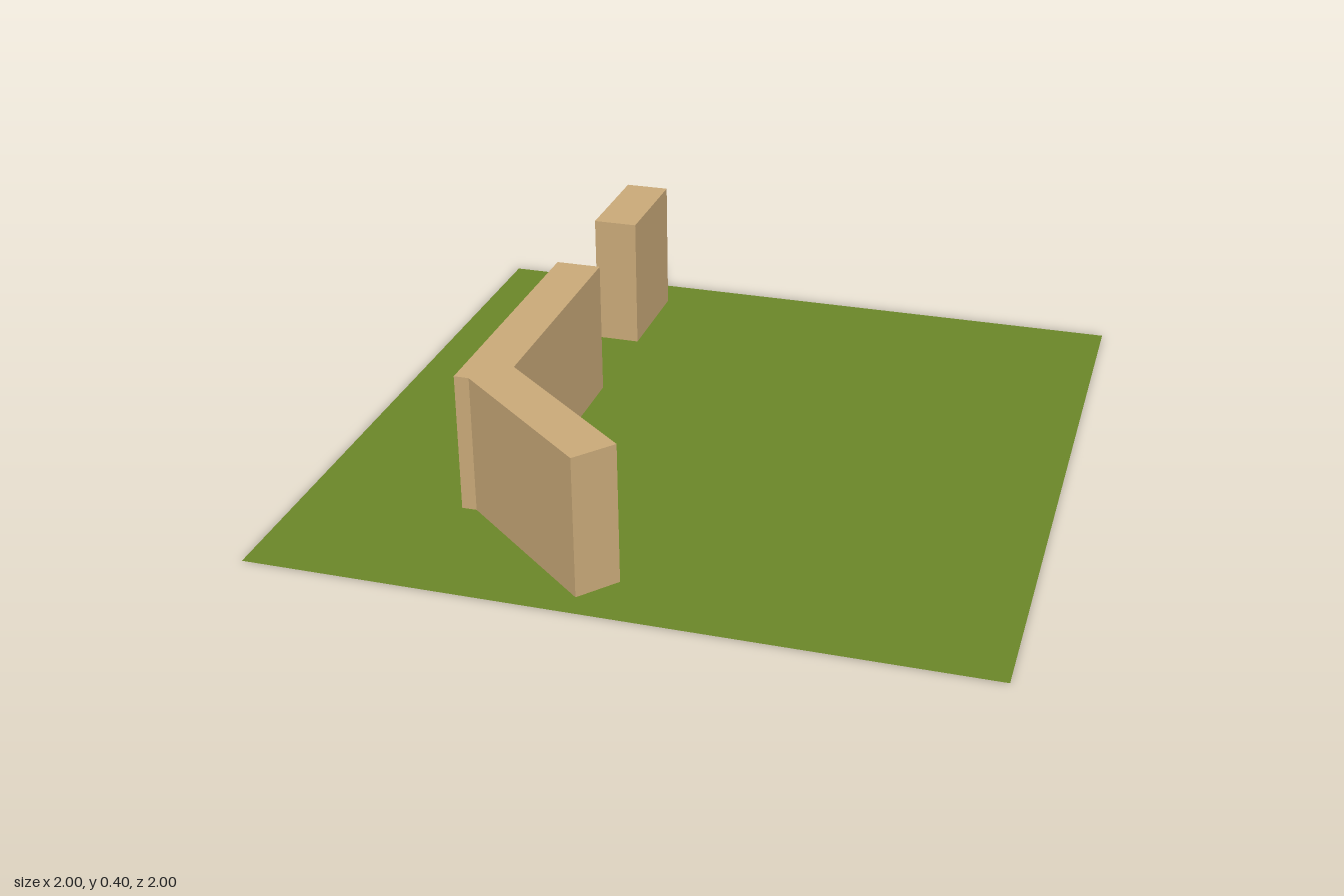
import * as THREE from 'three';

const WALL_HEIGHT = 0.4;

// Upright wall from a footprint of [x, z] corners
function makeWall(name, footprint, material) {
  const shape = new THREE.Shape(footprint.map(([x, z]) => new THREE.Vector2(x, -z)));
  const geometry = new THREE.ExtrudeGeometry(shape, { depth: WALL_HEIGHT, bevelEnabled: false });
  geometry.rotateX(-Math.PI / 2);
  const wall = new THREE.Mesh(geometry, material);
  wall.name = name;
  return wall;
}

export function createModel() {
  const model = new THREE.Group();
  model.name = 'walledField';

  const grass = new THREE.MeshStandardMaterial({ color: 0x6a8628, side: THREE.DoubleSide });
  const sandstone = new THREE.MeshStandardMaterial({ color: 0xc8a878 });

  // Flat ground, a hair above the wall undersides so they show from below
  const ground = new THREE.Mesh(new THREE.PlaneGeometry(2, 2).rotateX(-Math.PI / 2), grass);
  ground.name = 'ground';
  ground.position.y = 0.001;
  model.add(ground);

  // Short wall at the back, beyond the gap
  const left = -0.555, right = -0.423;
  model.add(makeWall('backWall', [
    [left, -0.88], [left, -0.55], [right, -0.55], [right, -0.88],
  ], sandstone));

  // Long wall whose front end turns 40 degrees inward
  model.add(makeWall('bentWall', [
    [left, -0.21], [left, 0.588], [-0.513, 0.588],
    [-0.108, 0.928], [-0.023, 0.828], [right, 0.492], [right, -0.21],
  ], sandstone));

  return model;
}
